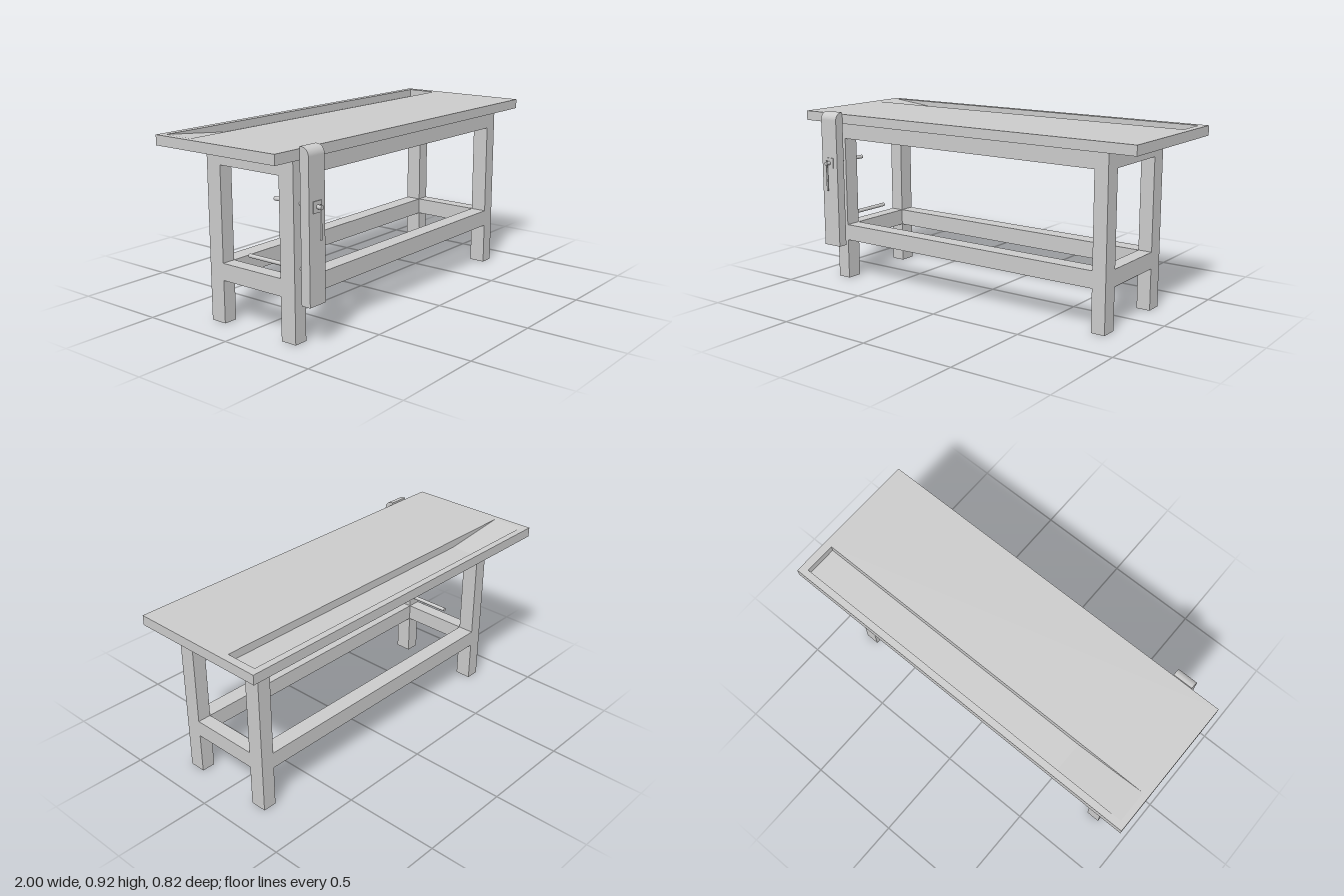
import * as THREE from 'three';

const material = new THREE.MeshStandardMaterial({ color: 0xcccccc });

function add(parent, name, geometry) {
  const mesh = new THREE.Mesh(geometry, material);
  mesh.name = name;
  parent.add(mesh);
  return mesh;
}

// Box given by its extents on each axis
function box(parent, name, [x0, x1], [y0, y1], [z0, z1]) {
  const mesh = add(parent, name, new THREE.BoxGeometry(x1 - x0, y1 - y0, z1 - z0));
  mesh.position.set((x0 + x1) / 2, (y0 + y1) / 2, (z0 + z1) / 2);
  return mesh;
}

// Round bar running along z
function bar(parent, name, radius, x, y, z0, z1) {
  const geometry = new THREE.CylinderGeometry(radius, radius, z1 - z0, 24).rotateX(Math.PI / 2);
  add(parent, name, geometry).position.set(x, y, (z0 + z1) / 2);
}

// Rectangle outline for shapes and holes
function rect(x0, y0, x1, y1) {
  return [[x0, y0], [x1, y0], [x1, y1], [x0, y1]].map(([x, y]) => new THREE.Vector2(x, y));
}

function createTop() {
  const top = new THREE.Group();
  top.name = 'benchTop';

  // Plate with a slot for the tool tray (shape y becomes -z)
  const plate = new THREE.Shape(rect(-1, -0.33, 1, 0.41));
  plate.holes.push(new THREE.Path(rect(-0.97, 0.21, 0.96, 0.375)));
  const plateGeometry = new THREE.ExtrudeGeometry(plate, { depth: 0.05, bevelEnabled: false });
  plateGeometry.rotateX(-Math.PI / 2).translate(0, 0.86, 0);
  add(top, 'worktop', plateGeometry);

  // Tray floor with a long ramp up to one end
  const floor = new THREE.Shape([
    [-0.97, 0.86], [0.96, 0.86], [0.96, 0.87], [-0.6, 0.87], [-0.97, 0.91],
  ].map(([x, y]) => new THREE.Vector2(x, y)));
  const floorGeometry = new THREE.ExtrudeGeometry(floor, { depth: 0.165, bevelEnabled: false });
  add(top, 'toolTray', floorGeometry.translate(0, 0, -0.375));
  return top;
}

function createFrame() {
  const frame = new THREE.Group();
  frame.name = 'frame';
  const legX = { right: [-0.838, -0.766], left: [0.766, 0.838] };
  const legZ = { Front: [0.2, 0.285], Back: [-0.25, -0.165] };
  const rails = { Apron: [0.773, 0.86], Stretcher: [0.215, 0.3] };

  for (const [side, x] of Object.entries(legX)) {
    for (const [end, z] of Object.entries(legZ)) box(frame, side + end + 'Leg', x, [0, 0.86], z);
  }
  // Rails join the legs flush on all four sides
  for (const [rail, y] of Object.entries(rails)) {
    for (const [end, z] of Object.entries(legZ)) {
      box(frame, end.toLowerCase() + rail, [-0.766, 0.766], y, z);
    }
    for (const [side, x] of Object.entries(legX)) box(frame, side + rail, x, y, [-0.165, 0.2]);
  }
  return frame;
}

function createVise() {
  const vise = new THREE.Group();
  vise.name = 'legVise';
  const x = -0.791;

  // Jaw side profile with rounded front top edge (shape x is z)
  const profile = new THREE.Shape();
  profile.moveTo(0.33, 0.2);
  profile.lineTo(0.38, 0.2);
  profile.lineTo(0.38, 0.88);
  profile.absarc(0.34, 0.88, 0.04, 0, Math.PI / 2, false);
  profile.lineTo(0.33, 0.92);
  profile.closePath();
  const jaw = new THREE.ExtrudeGeometry(profile, { depth: 0.106, bevelEnabled: false, curveSegments: 10 });
  add(vise, 'jaw', jaw.rotateY(-Math.PI / 2).translate(-0.738, 0, 0));

  // Screw, guide bar, collar plate and hanging handle
  bar(vise, 'screw', 0.01, x, 0.652, 0.133, 0.41);
  bar(vise, 'guideBar', 0.01, x, 0.352, -0.035, 0.335);
  box(vise, 'collar', [x - 0.027, x + 0.027], [0.625, 0.679], [0.379, 0.384]);
  const handle = add(vise, 'handle', new THREE.CylinderGeometry(0.005, 0.005, 0.162, 16));
  handle.position.set(x, 0.586, 0.402);
  return vise;
}

export function createModel() {
  const model = new THREE.Group();
  model.name = 'workbench';
  model.add(createTop(), createFrame(), createVise());
  return model;
}
